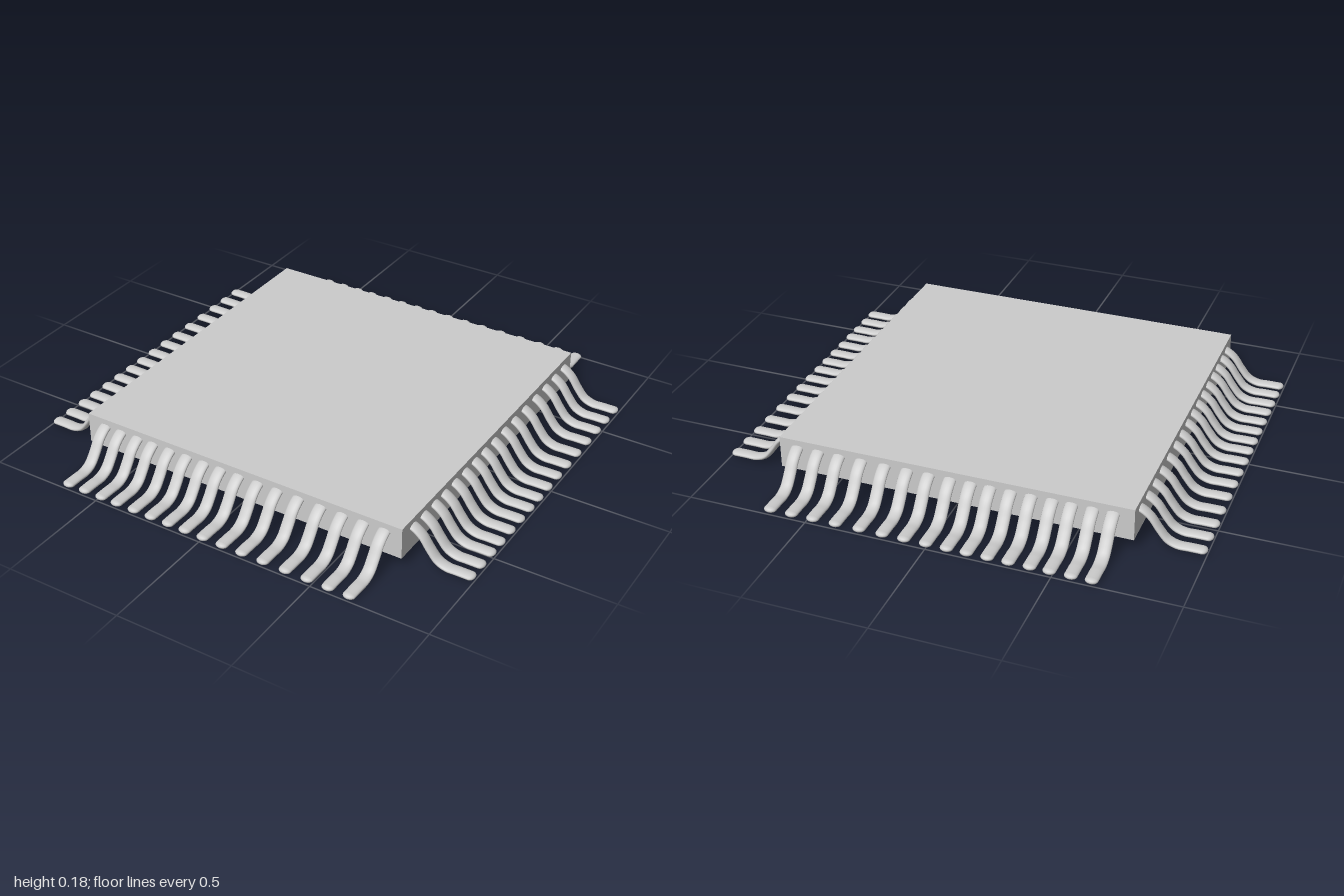
import * as THREE from 'three';
import { mergeGeometries } from 'three/addons/utils/BufferGeometryUtils.js';

// Lateral positions of the pins along a side (slightly uneven pitch)
const PINS = [-0.65, -0.57, -0.487, -0.41, -0.326, -0.243, -0.16, -0.08,
  0.005, 0.094, 0.184, 0.28, 0.38, 0.476, 0.567, 0.658];
const HALF_THICK = 0.012, HALF_WIDTH = 0.026;

// One gull-wing pin pointing along +x: flattened tube with a rounded toe
function pinGeometry() {
  const path = new THREE.CatmullRomCurve3([
    [0.69, 0.152], [0.735, 0.144], [0.775, 0.116], [0.81, 0.068],
    [0.845, 0.028], [0.885, 0.012], [0.93, 0.012], [0.98, 0.012],
  ].map(([x, y]) => new THREE.Vector3(x, y, 0)));
  const tube = new THREE.TubeGeometry(path, 28, HALF_THICK, 16);
  tube.scale(1, 1, HALF_WIDTH / HALF_THICK);
  const toe = new THREE.SphereGeometry(1, 16, 10);
  toe.scale(0.02, HALF_THICK, HALF_WIDTH);
  toe.translate(0.98, HALF_THICK, 0);
  return mergeGeometries([tube, toe]);
}

export function createModel() {
  const model = new THREE.Group();
  model.name = 'chip';
  const material = new THREE.MeshStandardMaterial({ color: 0xcccccc });

  // Flat square package
  const body = new THREE.Mesh(new THREE.BoxGeometry(1.468, 0.135, 1.468), material);
  body.name = 'body';
  body.position.y = 0.1125;
  model.add(body);

  // A row of pins on each of the four sides
  const geometry = pinGeometry();
  const sides = { leftPins: 0, backPins: 1, rightPins: 2, frontPins: 3 };
  for (const [name, turn] of Object.entries(sides)) {
    const row = new THREE.Group();
    row.name = name;
    PINS.forEach((p, i) => {
      const pin = new THREE.Mesh(geometry, material);
      pin.name = `pin${i + 1}`;
      pin.rotation.y = turn * Math.PI / 2;
      if (turn % 2) pin.position.x = p;
      else pin.position.z = -p;
      row.add(pin);
    });
    model.add(row);
  }
  return model;
}
